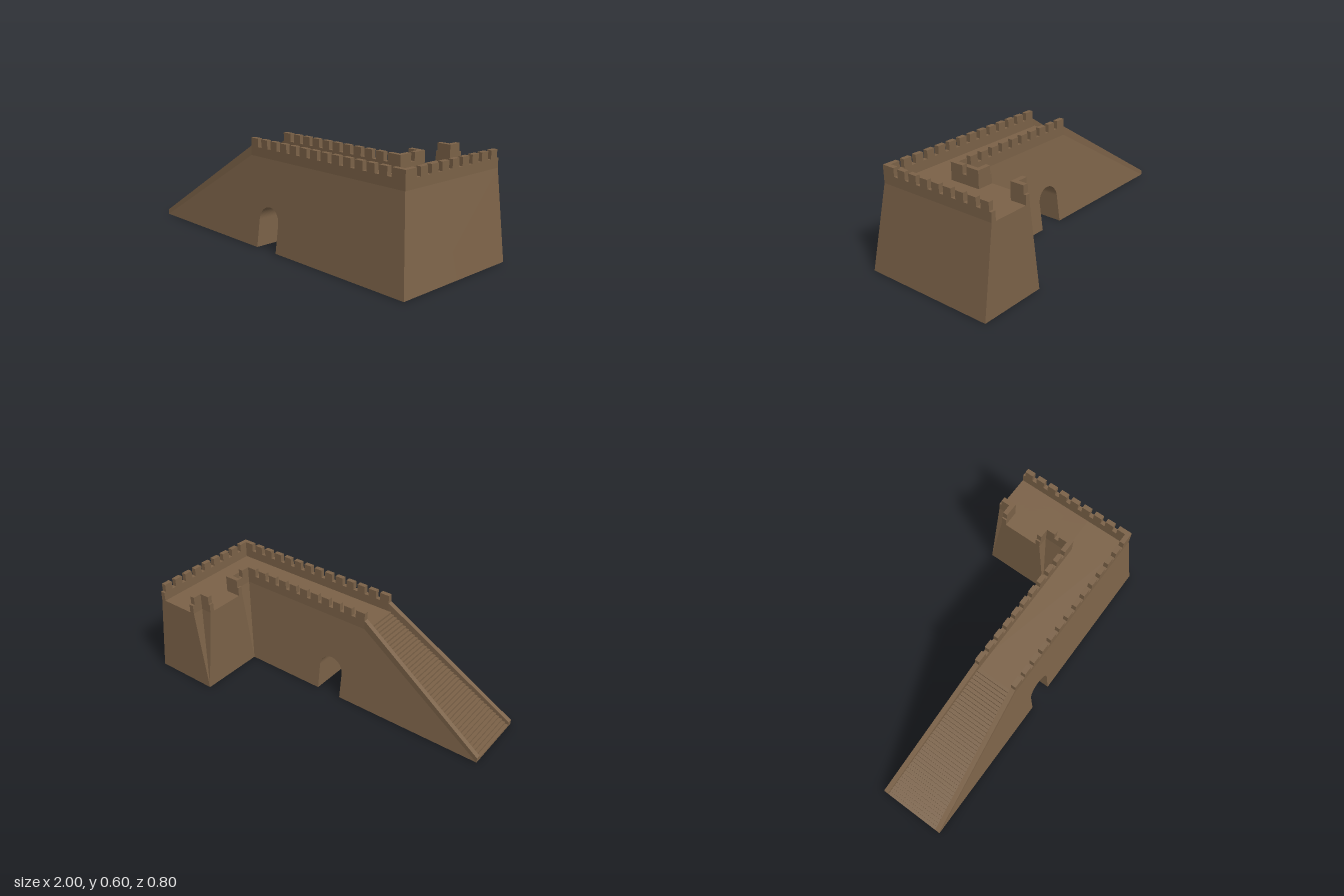
import * as THREE from 'three';

const H = 0.5;          // walkway level
const INSET = 0.067;    // how far each battered face leans in by walkway level
const THICK = 0.028;    // parapet thickness
const LEDGE = 0.053;    // parapet height below the merlons
const TOP = 0.6;        // merlon tops
const PITCH = 0.08, GAP = 0.028;
const RAMP_END = -0.2, STEPS = 40;

export function createModel() {
  const group = new THREE.Group();
  const material = new THREE.MeshStandardMaterial({ color: 0x7a6147 });

  const add = (name, geometry, parent = group) => {
    const mesh = new THREE.Mesh(geometry, material);
    mesh.name = name;
    parent.add(mesh);
    return mesh;
  };

  // Main wall: side profile with the stairs and the archway, battered front and back
  const profile = new THREE.Shape();
  profile.moveTo(-1, 0);
  profile.lineTo(-0.08, 0);
  profile.lineTo(-0.08, 0.16);
  profile.absarc(0, 0.16, 0.08, Math.PI, 0, true);
  profile.lineTo(0.08, 0);
  profile.lineTo(1, 0);
  profile.lineTo(1 - INSET, H);
  const run = (RAMP_END + 1) / STEPS, rise = H / STEPS;
  for (let i = STEPS; i > 0; i--) {
    if (i < STEPS) profile.lineTo(-1 + i * run, i * rise);
    else profile.lineTo(RAMP_END, H);
    profile.lineTo(-1 + (i - 1) * run, i * rise);
  }
  const wall = new THREE.ExtrudeGeometry(profile, { depth: 0.4, bevelEnabled: false, curveSegments: 24 });
  const p = wall.attributes.position;
  for (let i = 0; i < p.count; i++) {
    const lean = INSET * p.getY(i) / H;
    p.setZ(i, p.getZ(i) < 0.2 ? lean : 0.4 - lean);
  }
  wall.computeVertexNormals();
  add('mainWall', wall);

  // Rear wing and its side spur share one battered cross-section with open, upright ends
  const section = new THREE.Shape([
    new THREE.Vector2(-0.2, 0), new THREE.Vector2(0.2, 0),
    new THREE.Vector2(0.2 - INSET, H), new THREE.Vector2(INSET - 0.2, H),
  ]);
  const wallPiece = (depth) => new THREE.ExtrudeGeometry(section, { depth, bevelEnabled: false });
  add('rearWing', wallPiece(0.6).translate(0.8, 0, -0.4));
  add('sideSpur', wallPiece(0.25).rotateY(Math.PI / 2).translate(0.6, 0, -0.2));

  // Sloping parapets beside the stairs
  for (const side of [1, -1]) {
    const g = new THREE.BoxGeometry(1, 1, THICK);
    const q = g.attributes.position;
    for (let i = 0; i < q.count; i++) {
      const t = q.getX(i) + 0.5, v = q.getY(i) + 0.5;
      q.setXYZ(i,
        -1 + t * (RAMP_END + 1),
        H * t + v * (0.03 + (LEDGE - 0.03) * t),
        0.2 + side * (0.2 - INSET * t - THICK / 2) + q.getZ(i));
    }
    g.computeVertexNormals();
    add(side > 0 ? 'frontStairParapet' : 'backStairParapet', g);
  }

  // Crenellated parapet from a to b along an axis; c is its centre line on the other axis
  function parapet(name, axis, a, b, c, firstGap, gapCount) {
    const part = new THREE.Group();
    part.name = name;
    group.add(part);
    const block = (label, from, to, y0, y1) => {
      const len = to - from, mid = (from + to) / 2;
      const g = axis === 'x'
        ? new THREE.BoxGeometry(len, y1 - y0, THICK).translate(mid, (y0 + y1) / 2, c)
        : new THREE.BoxGeometry(THICK, y1 - y0, len).translate(c, (y0 + y1) / 2, mid);
      add(label, g, part);
    };
    block('parapetBase', a, b, H, H + LEDGE);
    let start = a;
    for (let i = 0; i <= gapCount; i++) {
      const gap = firstGap + i * PITCH;
      const end = i < gapCount ? gap - GAP / 2 : b;
      if (end - start > 0.01) block('merlon', start, end, H + LEDGE, TOP);
      start = gap + GAP / 2;
    }
  }

  const h = THICK / 2;
  const outX = 1 - INSET, inX = 0.6 + INSET;       // wing faces at walkway level
  const outZ = 0.4 - INSET, inZ = INSET;           // main wall faces at walkway level
  const spurS = -INSET, spurN = -0.4 + INSET;      // spur faces at walkway level
  const cornerX = inX + THICK;

  parapet('frontParapet', 'x', RAMP_END, outX, outZ - h, -0.125, 13);
  parapet('outerWingParapet', 'z', -0.4, outZ, outX - h, -0.4, 9);
  parapet('backParapet', 'x', RAMP_END, cornerX, inZ + h, -0.125, 10);
  parapet('innerWingParapet', 'z', spurS - THICK, inZ + THICK, inX + h, 0, 1);
  parapet('spurSouthParapet', 'x', 0.6, cornerX, spurS - h, 0.595, 1);
  parapet('spurNorthParapet', 'x', 0.6, cornerX, spurN + h, 0.595, 1);
  parapet('wingEndParapet', 'z', -0.4, spurN + THICK, inX + h, -0.4, 1);

  return group;
}
